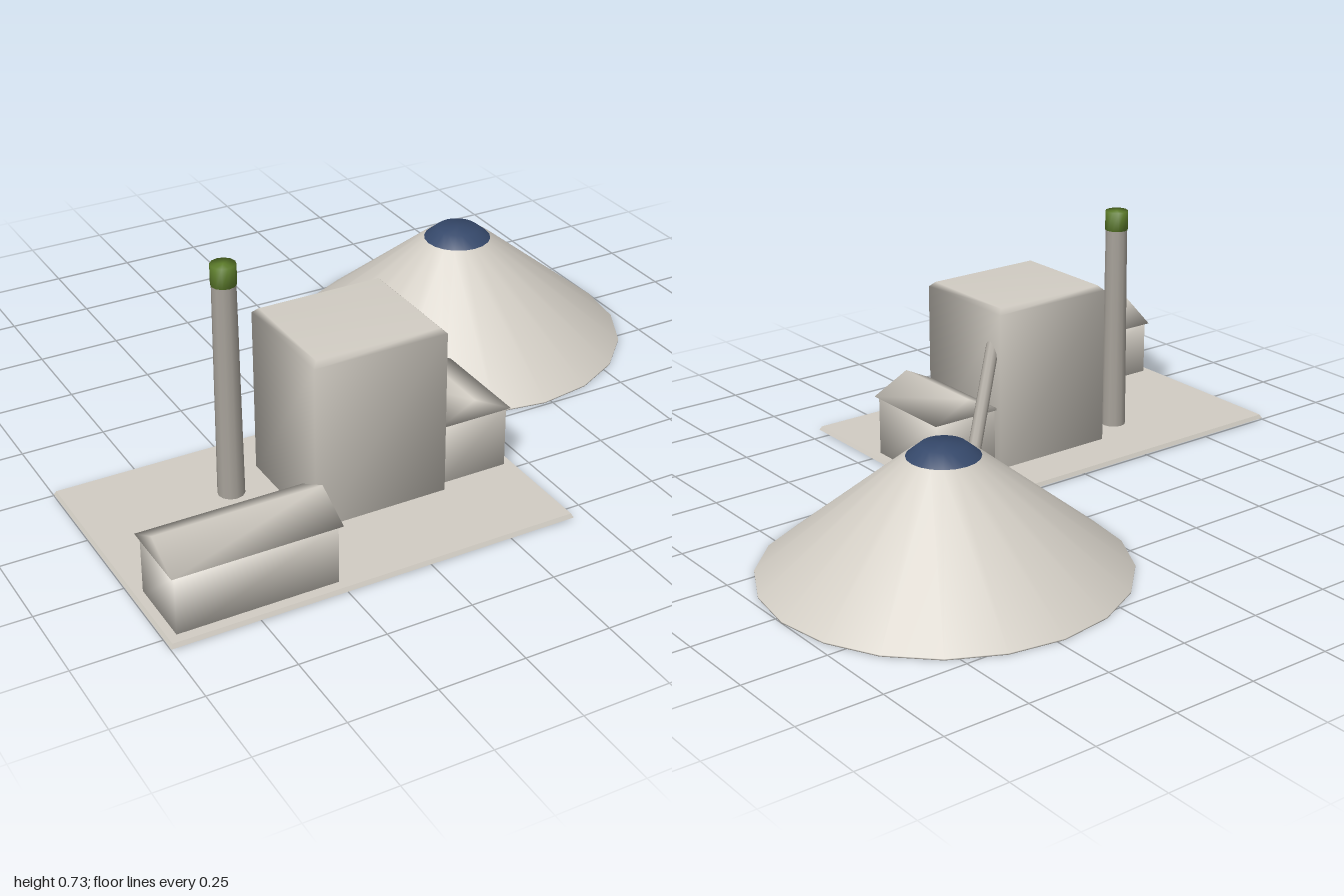
import * as THREE from 'three';
import { mergeVertices } from 'three/addons/utils/BufferGeometryUtils.js';

const mat = (name, color) => {
  const m = new THREE.MeshStandardMaterial({ color });
  m.name = name;
  return m;
};

// One smooth skin: corners share their normals
function soften(geometry) {
  geometry.deleteAttribute('normal');
  geometry.deleteAttribute('uv');
  const g = mergeVertices(geometry, 1e-4);
  g.computeVertexNormals();
  return g;
}

// Box whose top face is drawn in by an inset on each side
function taperedBox(w, h, d, inset) {
  const g = new THREE.BoxGeometry(w, h, d);
  const p = g.attributes.position;
  for (let i = 0; i < p.count; i++) {
    if (p.getY(i) > 0) {
      p.setX(i, p.getX(i) - Math.sign(p.getX(i)) * inset);
      p.setZ(i, p.getZ(i) - Math.sign(p.getZ(i)) * inset);
    }
  }
  g.computeVertexNormals();
  return g.translate(0, h / 2, 0);
}

// Gable roof with its ridge along z
function gableRoof(span, rise, length) {
  const s = new THREE.Shape();
  s.moveTo(-span / 2, 0);
  s.lineTo(span / 2, 0);
  s.lineTo(0, rise);
  s.closePath();
  const g = new THREE.ExtrudeGeometry(s, { depth: length, bevelEnabled: false });
  return soften(g.translate(0, 0, -length / 2));
}

const lathe = (pts, sides) =>
  soften(new THREE.LatheGeometry(pts.map(([r, y]) => new THREE.Vector2(r, y)), sides));

export function createModel() {
  const stone = mat('pale stone', 0xd2cdc4);
  const steel = mat('steel grey', 0xa7a29a);
  const green = mat('green', 0x5f7f2c);
  const blue = mat('blue', 0x35486a);
  const model = new THREE.Group();
  model.name = 'processingPlant';

  const add = (name, geometry, material, x = 0, y = 0, z = 0, parent = model) => {
    const mesh = new THREE.Mesh(geometry, material);
    mesh.name = name;
    mesh.position.set(x, y, z);
    parent.add(mesh);
    return mesh;
  };

  // Ground slab
  add('groundSlab', taperedBox(1.2, 0.012, 0.8, 0.006), stone, -0.4, 0.004, 0.4);

  // Main tower with a narrow bevel around the top
  const tower = new THREE.BoxGeometry(0.404, 0.525, 0.366, 1, 2, 1);
  const tp = tower.attributes.position;
  for (let i = 0; i < tp.count; i++) {
    const y = tp.getY(i);
    if (y > 0.1) {
      tp.setX(i, tp.getX(i) * 0.925);
      tp.setZ(i, tp.getZ(i) * 0.917);
    } else if (y > -0.1) tp.setY(i, 0.2475);
  }
  add('mainTower', soften(tower), stone, -0.248, 0.2625, 0.341);

  // Sheds: walls plus an overhanging gable roof
  const shed = (name, x, z, wall, span, length, turn) => {
    const g = new THREE.Group();
    g.name = name;
    g.position.set(x, 0, z);
    g.rotation.y = turn;
    add(name + 'Walls', soften(new THREE.BoxGeometry(span - 0.02, wall, length - 0.02)), stone, 0, wall / 2, 0, g);
    add(name + 'Roof', gableRoof(span, 0.06, length), stone, 0, wall, 0, g);
    model.add(g);
  };
  shed('longShed', -0.74, 0.66, 0.19, 0.23, 0.48, Math.PI / 2);
  shed('sideShed', 0.06, 0.34, 0.203, 0.24, 0.325, 0);

  // Chimney stack and coloured tip
  add('chimney', new THREE.CylinderGeometry(0.034, 0.039, 0.665, 12), steel, -0.57, 0.3325, 0.246);
  add('chimneyTip', soften(new THREE.CylinderGeometry(0.036, 0.036, 0.06, 12)), green, -0.57, 0.695, 0.246);

  // Chute from the tower down to the mound
  const a = new THREE.Vector3(-0.06, 0.402, 0.213);
  const b = new THREE.Vector3(0.187, 0.11, 0.0);
  const dir = b.clone().sub(a);
  const chute = add('chute', new THREE.CylinderGeometry(0.02, 0.02, dir.length(), 10), steel);
  chute.position.copy(a).add(b).multiplyScalar(0.5);
  chute.quaternion.setFromUnitVectors(new THREE.Vector3(0, 1, 0), dir.normalize());

  // Mound and its domed cap
  add('mound', lathe([[0, 0], [0.522, 0], [0.522, 0.004], [0.108, 0.338], [0, 0.338]], 20),
    stone, 0.478, 0, -0.28);
  add('moundCap', lathe([[0.104, 0.338], [0.065, 0.37], [0, 0.373]], 20), blue, 0.478, 0, -0.28);

  return model;
}
